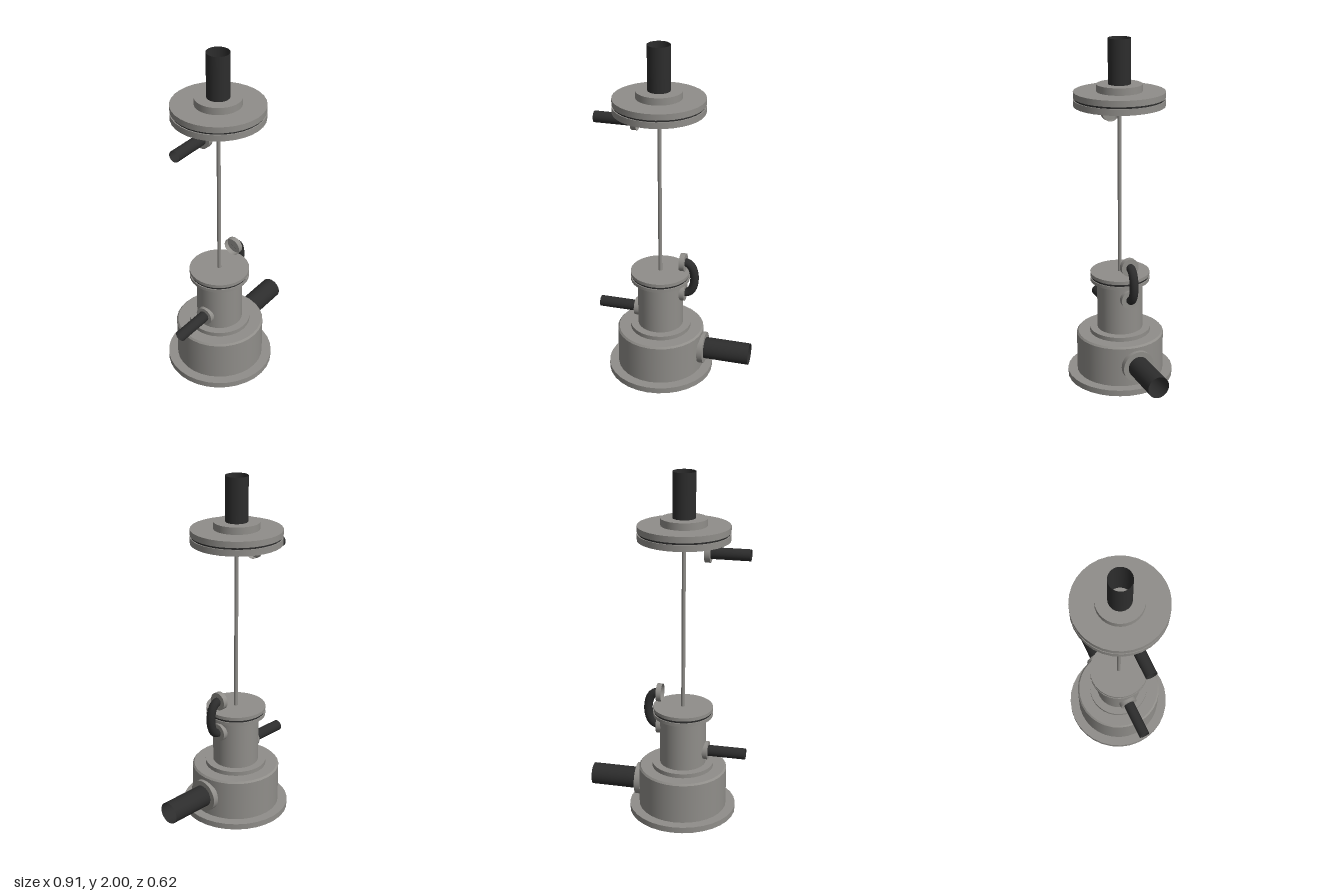
import * as THREE from 'three';

const AXIS = -0.087; // x of the vertical centre line

export function createModel() {
  const model = new THREE.Group();
  model.name = 'pumpAssembly';
  const make = (name, color) => {
    const m = new THREE.MeshStandardMaterial({ color, side: THREE.DoubleSide });
    m.name = name;
    return m;
  };
  const metal = make('grey metal', 0x908e8a);
  const rubber = make('dark rubber', 0x2d2d2d);

  const add = (name, geometry, material) => {
    const mesh = new THREE.Mesh(geometry, material);
    mesh.name = name;
    model.add(mesh);
    return mesh;
  };
  // Upright disc or cylinder on the centre line, from y0 to y1
  const disc = (name, r, y0, y1, material = metal, rTop = r, open = false) => {
    const g = new THREE.CylinderGeometry(rTop, r, y1 - y0, 32, 1, open);
    add(name, g, material).position.set(AXIS, (y0 + y1) / 2, 0);
  };
  // Open sideways tube from x0 to x1
  const sideTube = (name, r, x0, x1, y, material) => {
    const g = new THREE.CylinderGeometry(r, r, Math.abs(x1 - x0), 32, 1, true).rotateZ(-Math.PI / 2);
    add(name, g, material).position.set((x0 + x1) / 2, y, 0);
  };
  // Shallow cup whose closed face lies at xFace and points along dir
  const sideFlange = (name, r, xBack, xFace, y) => {
    sideTube(name + 'Rim', r, xBack, xFace, y, metal);
    const face = new THREE.CircleGeometry(r, 32).rotateY(Math.sign(xFace - xBack) * Math.PI / 2);
    add(name + 'Face', face, metal).position.set(xFace, y, 0);
  };

  // Base and housing
  disc('baseFlange', 0.31, 0, 0.035);
  disc('housing', 0.255, 0.035, 0.27);
  disc('housingBevel', 0.255, 0.27, 0.28, metal, 0.246);
  disc('housingCollar', 0.178, 0.28, 0.305);
  disc('column', 0.133, 0.305, 0.6);

  // Bolted column head with gasket
  disc('columnLowerFlange', 0.172, 0.6, 0.619);
  disc('columnGasket', 0.166, 0.619, 0.632, rubber);
  disc('columnUpperFlange', 0.172, 0.632, 0.652);

  // Rod up to the head plates
  disc('rod', 0.011, 0.652, 1.63);
  disc('headLowerPlate', 0.255, 1.63, 1.665);
  disc('headGasket', 0.248, 1.665, 1.676, rubber);
  disc('headUpperPlate', 0.255, 1.676, 1.71);
  disc('headCollar', 0.128, 1.71, 1.75);
  disc('topPipe', 0.063, 1.75, 2, rubber, 0.063, true);
  [0.032, 0.022, 0.012].forEach((r, i) => disc('rodNut', r, 1.75, 1.753 + i * 0.003));

  // Side pipes
  sideFlange('outletFlange', 0.093, 0.155, 0.188, 0.158);
  sideTube('outletPipe', 0.063, 0.188, 0.455, 0.158, rubber);
  for (const [name, y] of [['lower', 0.385], ['upper', 1.565]]) {
    sideFlange(name + 'InletFlange', 0.053, -0.207, -0.238, y);
    sideTube(name + 'InletPipe', 0.032, -0.238, -0.455, y, rubber);
  }

  // Bent hose with its two flanges
  sideFlange('hoseLowerFlange', 0.052, 0.034, 0.064, 0.525);
  sideFlange('hoseUpperFlange', 0.052, 0.034, 0.064, 0.723);
  const bend = new THREE.CubicBezierCurve3(
    new THREE.Vector3(0.062, 0.525, 0), new THREE.Vector3(0.136, 0.525, 0),
    new THREE.Vector3(0.136, 0.723, 0), new THREE.Vector3(0.062, 0.723, 0));
  add('hose', new THREE.TubeGeometry(bend, 24, 0.025, 16), rubber);

  return model;
}
